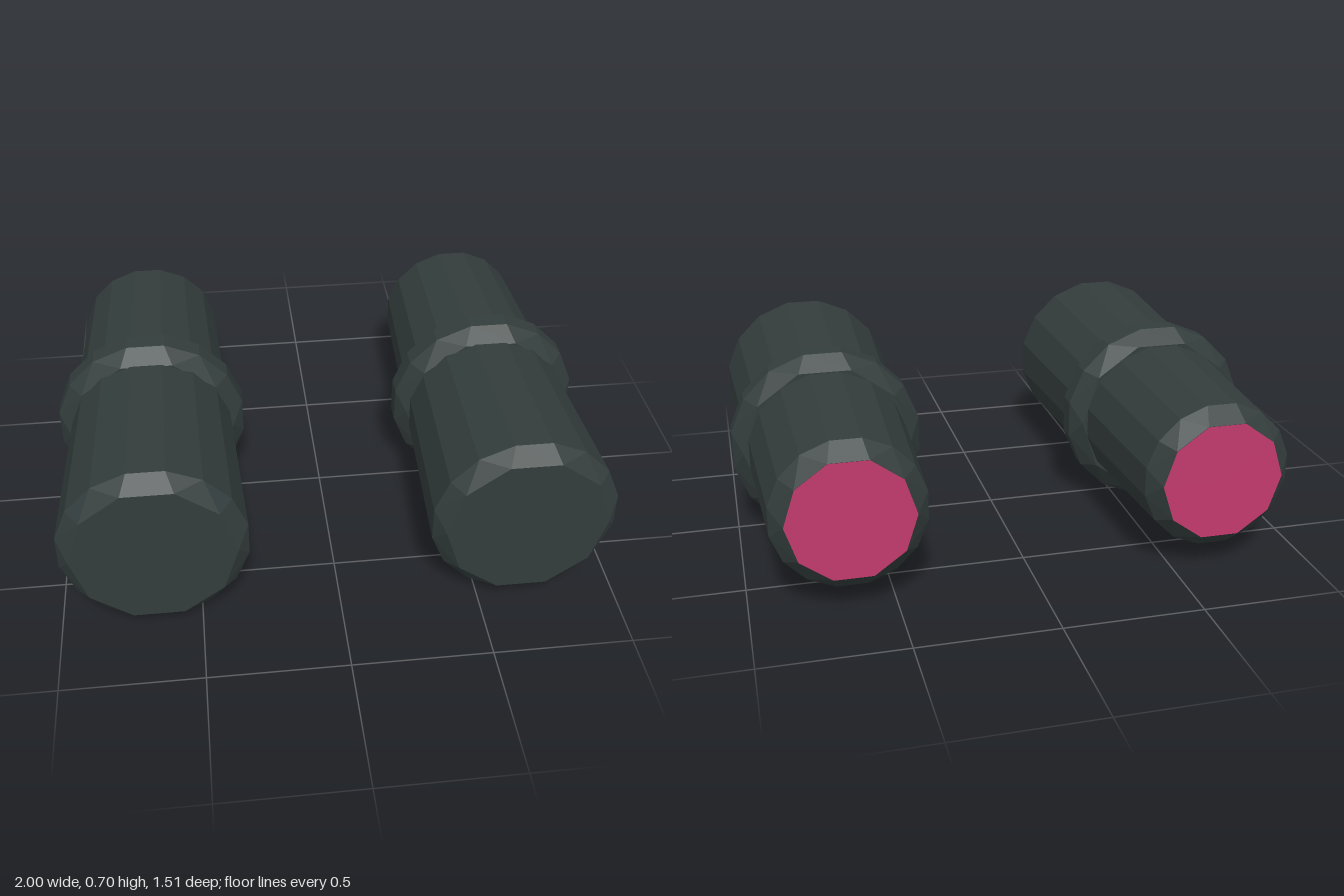
import * as THREE from 'three';
import { ConvexGeometry } from 'three/addons/geometries/ConvexGeometry.js';

// Points of a regular polygon across z; turn is a fraction of one side
function ringPoints(sides, radius, z, turn = 0) {
  return Array.from({ length: sides }, (_, i) => {
    const a = ((i + turn) / sides) * Math.PI * 2;
    return new THREE.Vector3(Math.cos(a) * radius, Math.sin(a) * radius, z);
  });
}

// 16-sided tapered drum, chamfered at each end to a 10-sided cap
function chamferedDrum(zFront, frontFlat, frontCap, zBack, backFlat, backCap, chamfer) {
  const k = 1 / Math.cos(Math.PI / 16);
  return new ConvexGeometry([
    ...ringPoints(10, frontCap, zFront),
    ...ringPoints(16, frontFlat * k, zFront - chamfer, 0.5),
    ...ringPoints(16, backFlat * k, zBack + chamfer, 0.5),
    ...ringPoints(10, backCap, zBack),
  ]);
}

export function createModel() {
  const model = new THREE.Group();
  const dark = new THREE.MeshStandardMaterial({ name: 'darkCasing', color: 0x333d3c });
  const pink = new THREE.MeshStandardMaterial({ name: 'pinkGlow', color: 0xc23a6c });

  const bodyGeo = chamferedDrum(0.755, 0.328, 0.289, -0.753, 0.266, 0.221, 0.056);
  const collarGeo = chamferedDrum(0.055, 0.35, 0.311, -0.126, 0.35, 0.311, 0.055);
  const nozzleGeo = new THREE.CircleGeometry(0.221, 10);

  for (const side of [-1, 1]) {
    const engine = new THREE.Group();
    engine.name = side > 0 ? 'leftEngine' : 'rightEngine';
    engine.position.set(side * 0.65, 0.35, 0);

    const body = new THREE.Mesh(bodyGeo, dark);
    body.name = 'body';
    const collar = new THREE.Mesh(collarGeo, dark);
    collar.name = 'collar';

    // Coloured disc on the rear cap
    const nozzle = new THREE.Mesh(nozzleGeo, pink);
    nozzle.name = 'nozzle';
    nozzle.rotation.y = Math.PI;
    nozzle.position.z = -0.755;

    engine.add(body, collar, nozzle);
    model.add(engine);
  }
  return model;
}
